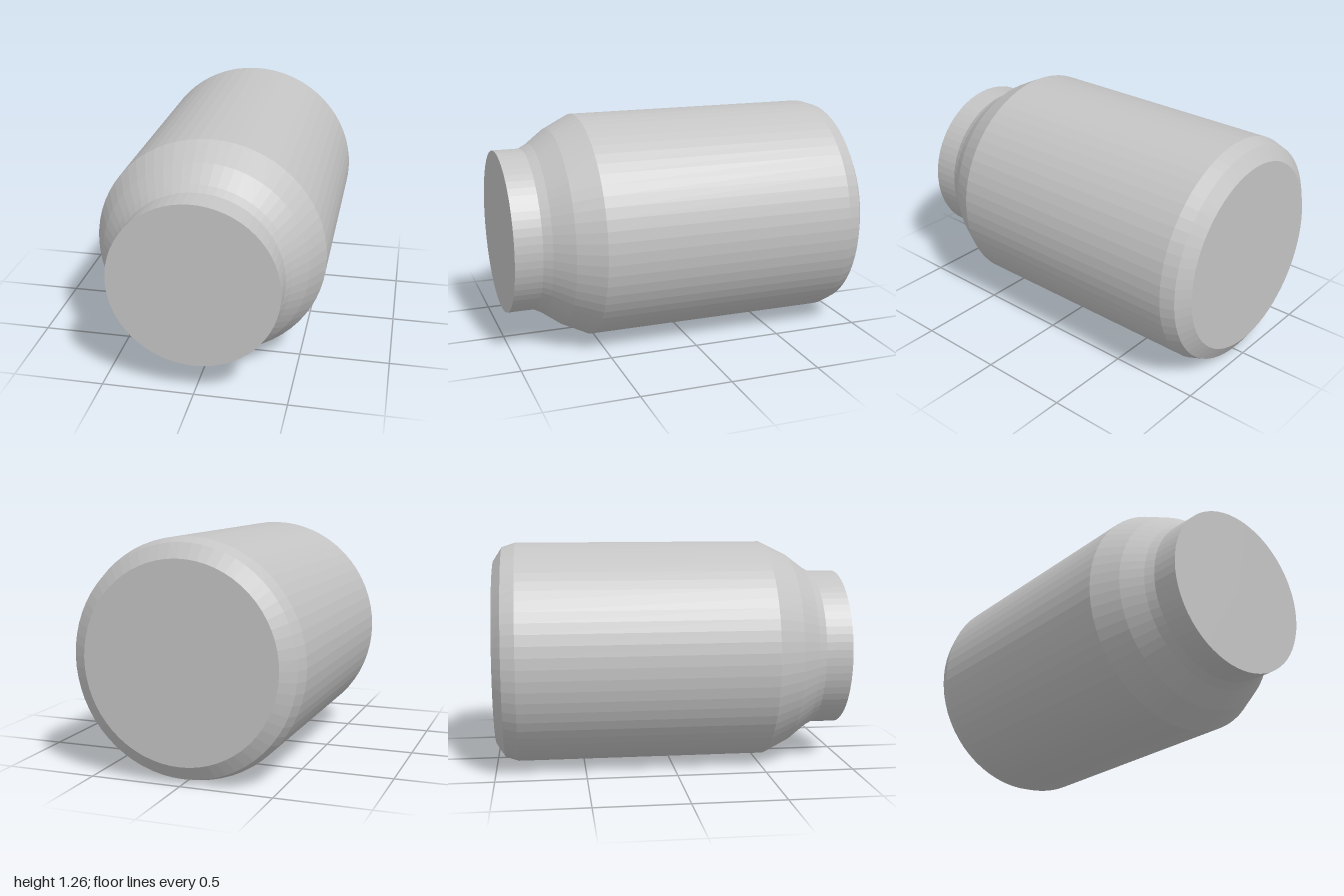
import * as THREE from 'three';

const SIDES = 64;
const RADIUS = 0.632;

export function createModel() {
  const model = new THREE.Group();
  model.name = 'canister';
  const grey = new THREE.MeshStandardMaterial({ color: 0xc4c4c4, flatShading: true });
  grey.name = 'plain grey';

  // Turns a [radius, z] profile, listed from back to front, around the long axis.
  function turned(name, profile) {
    const points = profile.map(([r, z]) => new THREE.Vector2(r, z));
    const geometry = new THREE.LatheGeometry(points, SIDES);
    geometry.rotateX(Math.PI / 2);
    const mesh = new THREE.Mesh(geometry, grey);
    mesh.name = name;
    mesh.position.y = RADIUS;
    model.add(mesh);
  }

  // Closed base with a two-step bevel
  turned('base', [[0, -1], [0.53, -1], [0.608, -0.95], [RADIUS, -0.875]]);
  // Straight main body
  turned('barrel', [[RADIUS, -0.875], [RADIUS, 0.545]]);
  // Taper from the body to the neck
  turned('shoulder', [[RADIUS, 0.545], [0.558, 0.695], [0.48, 0.8], [0.455, 0.848]]);
  // Straight neck with a flat closed end
  turned('neck', [[0.455, 0.848], [0.455, 1], [0, 1]]);

  return model;
}
